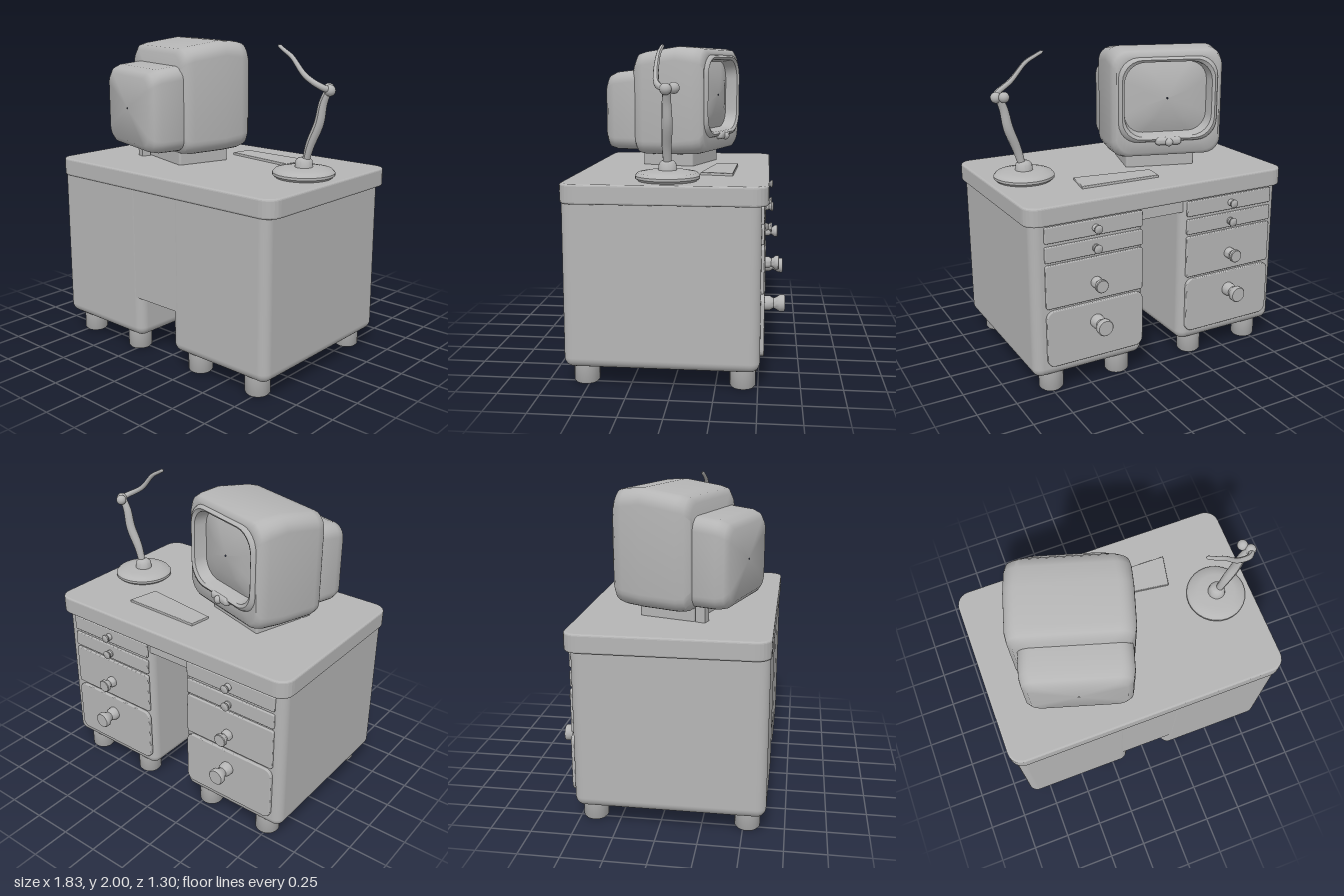
import * as THREE from 'three';
import { toCreasedNormals } from 'three/addons/utils/BufferGeometryUtils.js';
import { RoundedBoxGeometry } from 'three/addons/geometries/RoundedBoxGeometry.js';

const grey = new THREE.MeshStandardMaterial({ color: 0xb5b5b5 });
grey.name = 'plain grey';

function add(parent, name, geometry, x = 0, y = 0, z = 0) {
  const mesh = new THREE.Mesh(geometry, grey);
  mesh.name = name;
  mesh.position.set(x, y, z);
  parent.add(mesh);
  return mesh;
}

// Outline of a rounded rectangle, anticlockwise
function roundedRect(hw, y0, y1, r, steps = 6) {
  const points = [];
  const corners = [[hw - r, y0 + r], [hw - r, y1 - r], [r - hw, y1 - r], [r - hw, y0 + r]];
  corners.forEach(([cx, cy], k) => {
    for (let i = 0; i <= steps; i++) {
      const a = (k - 1 + i / steps) * Math.PI / 2;
      points.push(new THREE.Vector2(cx + r * Math.cos(a), cy + r * Math.sin(a)));
    }
  });
  return points;
}

// Skin over rounded-rectangle sections: [halfWidth, bottom, top, radius, z]
function loft(sections) {
  const positions = [], index = [];
  let n = 0;
  for (const [hw, y0, y1, r, z] of sections) {
    const ring = roundedRect(hw, y0, y1, r);
    n = ring.length;
    ring.forEach(p => positions.push(p.x, p.y, z));
  }
  for (let i = 0; i < sections.length - 1; i++) {
    for (let j = 0; j < n; j++) {
      const a = i * n + j, b = i * n + (j + 1) % n, c = a + n, d = b + n;
      index.push(a, b, c, b, d, c);
    }
  }
  const g = new THREE.BufferGeometry();
  g.setAttribute('position', new THREE.Float32BufferAttribute(positions, 3));
  g.setIndex(index);
  return toCreasedNormals(g, 0.75);
}

// Slab with a bevelled rim, extruded along +z
function slab(points, depth, bevel) {
  return new THREE.ExtrudeGeometry(new THREE.Shape(points), {
    depth: depth - 2 * bevel, bevelThickness: bevel, bevelSize: bevel,
    bevelOffset: -bevel, bevelSegments: 3
  }).translate(0, 0, bevel);
}

function lathe(points, sides = 24) {
  return toCreasedNormals(new THREE.LatheGeometry(points.map(p => new THREE.Vector2(...p)), sides), 0.7);
}

// Round rod along a curve whose radius follows a rule of t
function rod(points, radiusAt) {
  const curve = new THREE.CatmullRomCurve3(points.map(p => new THREE.Vector3(...p)));
  const g = new THREE.TubeGeometry(curve, 28, 1, 10);
  const pos = g.attributes.position, v = new THREE.Vector3();
  for (let i = 0; i < pos.count; i++) {
    const t = Math.floor(i / 11) / 28, c = curve.getPointAt(t);
    v.fromBufferAttribute(pos, i).sub(c).multiplyScalar(radiusAt(t)).add(c);
    pos.setXYZ(i, v.x, v.y, v.z);
  }
  g.computeVertexNormals();
  return g;
}

function buildDesk() {
  const desk = new THREE.Group();
  desk.name = 'desk';
  add(desk, 'deskTop', slab(roundedRect(0.913, -0.645, 0.55, 0.09), 0.115, 0.012).rotateX(-Math.PI / 2), 0, 1.1, 0);
  add(desk, 'modestyPanel', new THREE.BoxGeometry(0.42, 0.75, 0.08), -0.005, 0.765, 0.598);
  add(desk, 'apron', new THREE.BoxGeometry(0.4, 0.09, 0.04), -0.005, 1.06, -0.475);

  // Drawers: [bottom, top, corner radius, depth, knob height, knob radius, knob length]
  const drawers = [
    [0.985, 1.085, 0.01, 0.018, 1.035, 0.027, 0.045],
    [0.865, 0.965, 0.01, 0.018, 0.91, 0.028, 0.04],
    [0.575, 0.85, 0.015, 0.02, 0.69, 0.042, 0.085],
    [0.195, 0.56, 0.05, 0.025, 0.435, 0.052, 0.125]
  ];
  for (const [side, cx, drawerX] of [['right', -0.5125, -0.5], ['left', 0.505, 0.475]]) {
    add(desk, side + 'Pedestal', new RoundedBoxGeometry(0.747, 1.06, 1.15, 5, 0.06), cx, 0.65, 0.064);
    for (const [y0, y1, r, depth, knobY, kr, len] of drawers) {
      add(desk, side + 'Drawer', slab(roundedRect(0.325, y0, y1, r), depth, 0.006).rotateY(Math.PI), drawerX, 0, -0.508);
      const knob = lathe([[0, 0], [kr * 0.85, 0], [kr * 0.85, len * 0.25], [kr * 0.6, len * 0.45],
        [kr * 0.75, len * 0.6], [kr, len * 0.75], [kr, len * 0.95], [kr * 0.9, len], [0, len]]);
      add(desk, side + 'Knob', knob.rotateX(-Math.PI / 2), drawerX, knobY, -0.53);
    }
  }
  // Feet
  const foot = lathe([[0, 0], [0.068, 0], [0.077, 0.012], [0.077, 0.16], [0, 0.16]]);
  for (const x of [-0.735, -0.28, 0.275, 0.735]) {
    for (const z of [0.525, -0.41]) add(desk, 'foot', foot, x, 0, z);
  }
  return desk;
}

function buildMonitor() {
  const monitor = new THREE.Group();
  monitor.name = 'monitor';
  monitor.position.set(-0.285, 0, 0.02);
  monitor.rotation.y = -17 * Math.PI / 180;
  // Bulging screen, recess, raised frame, then the outer shell
  add(monitor, 'screenAndCase', loft([
    [0.005, 1.675, 1.685, 0.004, -0.225], [0.15, 1.55, 1.81, 0.08, -0.215],
    [0.25, 1.47, 1.89, 0.11, -0.185], [0.27, 1.455, 1.905, 0.12, -0.18],
    [0.285, 1.44, 1.915, 0.13, -0.258], [0.302, 1.425, 1.93, 0.13, -0.27],
    [0.318, 1.41, 1.94, 0.13, -0.26], [0.323, 1.405, 1.945, 0.13, -0.248],
    [0.335, 1.335, 1.955, 0.1, -0.248], [0.355, 1.312, 1.98, 0.1, -0.228],
    [0.365, 1.3, 1.992, 0.1, -0.18], [0.37, 1.295, 2.0, 0.09, -0.06],
    [0.37, 1.29, 1.968, 0.09, 0.17], [0.36, 1.297, 1.955, 0.09, 0.22],
    [0.33, 1.33, 1.92, 0.09, 0.25], [0.005, 1.6, 1.61, 0.004, 0.255]
  ]));
  add(monitor, 'rearHousing', loft([
    [0.31, 1.33, 1.85, 0.08, 0.2], [0.33, 1.317, 1.85, 0.08, 0.25],
    [0.33, 1.315, 1.835, 0.08, 0.39], [0.318, 1.325, 1.815, 0.08, 0.44],
    [0.285, 1.36, 1.78, 0.07, 0.468], [0.005, 1.57, 1.58, 0.004, 0.472]
  ]), 0.02);
  // Control under the screen
  add(monitor, 'controlPlate', new RoundedBoxGeometry(0.17, 0.05, 0.06, 3, 0.022), 0, 1.41, -0.255);
  add(monitor, 'controlButton', new THREE.SphereGeometry(0.026, 14, 10), 0, 1.405, -0.28);
  // Stand
  add(monitor, 'stand', new RoundedBoxGeometry(0.46, 0.12, 0.36, 3, 0.015), 0.02, 1.265, 0.04);
  add(monitor, 'standFoot', new THREE.BoxGeometry(0.06, 0.12, 0.06), -0.18, 1.27, 0.26);
  return monitor;
}

function buildLamp() {
  const lamp = new THREE.Group();
  lamp.name = 'lamp';
  add(lamp, 'lampBase', lathe([[0, 1.212], [0.17, 1.212], [0.19, 1.23], [0.19, 1.245],
    [0.175, 1.262], [0.12, 1.272], [0.055, 1.276], [0.05, 1.315], [0.035, 1.33], [0, 1.335]], 32), 0.68, 0, 0.04);
  add(lamp, 'lowerArm', rod([[0.69, 1.3, 0.04], [0.72, 1.41, 0.04], [0.775, 1.55, 0.03],
    [0.8, 1.67, 0.03], [0.83, 1.745, 0.025]], t => 0.022 + 0.009 * Math.sin(Math.PI * t)));
  // Elbow joint
  add(lamp, 'elbowInner', new THREE.SphereGeometry(0.033, 16, 12), 0.81, 1.75, -0.012);
  add(lamp, 'elbowOuter', new THREE.SphereGeometry(0.034, 16, 12), 0.845, 1.745, 0.03);
  add(lamp, 'upperArm', rod([[0.85, 1.745, 0.03], [0.82, 1.765, 0.075], [0.72, 1.825, 0.1],
    [0.62, 1.93, 0.1], [0.56, 1.965, 0.095], [0.505, 1.995, 0.085]],
    t => t > 0.99 ? 0.001 : 0.02 - 0.009 * t));
  return lamp;
}

export function createModel() {
  const model = new THREE.Group();
  model.name = 'deskWithMonitorAndLamp';
  model.add(buildDesk(), buildMonitor(), buildLamp());
  // Thin tray lying on the desk top
  const outline = [[-0.09, 0.2], [0.42, 0.13], [0.46, 0.33], [-0.07, 0.34]].map(p => new THREE.Vector2(...p));
  add(model, 'keyboardPad', slab(outline, 0.02, 0.004).rotateX(-Math.PI / 2), 0, 1.211, 0);
  return model;
}
